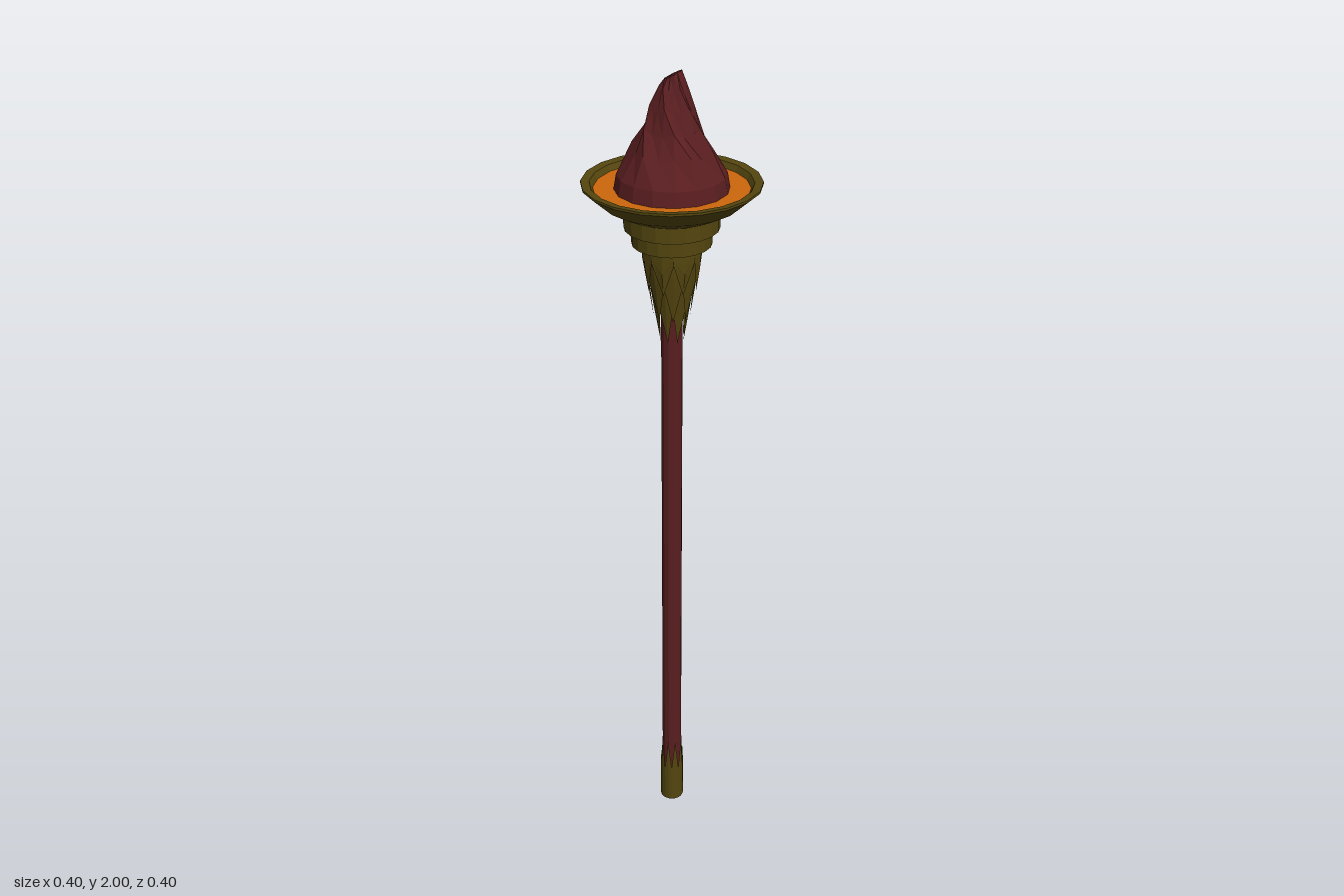
import * as THREE from 'three';

const mat = (color) => new THREE.MeshStandardMaterial({ color, flatShading: true, side: THREE.DoubleSide });
const lerp = THREE.MathUtils.lerp;

export function createModel() {
  const group = new THREE.Group();
  const bronze = mat(0x54460f), wood = mat(0x5a1e20), ember = mat(0xcc660c);

  const add = (name, geometry, material) => {
    const mesh = new THREE.Mesh(geometry, material);
    mesh.name = name;
    group.add(mesh);
    return mesh;
  };
  const lathe = (points, sides = 20) =>
    new THREE.LatheGeometry(points.map(([r, y]) => new THREE.Vector2(r, y)), sides);

  // Sleeve whose far edge is a ring of pointed teeth; radius(y) sets its outline
  const toothedSleeve = (radius, yBase, yTip, yNotch, teeth, turn = 0) => {
    const rows = 6, sides = teeth * 2;
    const geo = lathe(Array.from({ length: rows + 1 }, (_, i) => [1, i / rows]), sides);
    const pos = geo.attributes.position;
    for (let i = 0; i < pos.count; i++) {
      const column = Math.floor(i / (rows + 1));
      const t = pos.getY(i);
      const y = lerp(yBase, column % 2 ? yNotch : yTip, t);
      const a = ((column + turn) / sides) * Math.PI * 2;
      pos.setXYZ(i, Math.sin(a) * radius(y), y, Math.cos(a) * radius(y));
    }
    return geo;
  };

  // Pole
  const pole = add('pole', new THREE.CylinderGeometry(0.025, 0.025, 1.6, 12), wood);
  pole.position.y = 0.81;

  // Foot cap with points reaching up the pole
  add('footCap', lathe([[0, 0], [0.03, 0], [0.03, 0.09]], 20), bronze);
  add('footPoints', toothedSleeve(() => 0.03, 0.09, 0.2, 0.11, 10), bronze);

  // Layered leaf collar, flaring upward under the bowl
  const flare = (y) => {
    const t = THREE.MathUtils.clamp((y - 1.38) / 0.19, 0, 1);
    return 0.028 + 0.03 * t;
  };
  add('lowerLeaves', toothedSleeve(flare, 1.6, 1.38, 1.47, 8), bronze);
  add('middleLeaves', toothedSleeve((y) => flare(y) + 0.004, 1.61, 1.44, 1.53, 8, 1), bronze);
  add('upperLeaves', toothedSleeve((y) => flare(y) + 0.009, 1.62, 1.51, 1.585, 8), bronze);

  // Stepped rings
  add('lowerRing', lathe([[0, 1.615], [0.09, 1.615], [0.09, 1.655], [0, 1.655]]), bronze);
  add('upperRing', lathe([[0, 1.653], [0.107, 1.653], [0.107, 1.695], [0, 1.695]]), bronze);

  // Shallow bowl with a sloped inner lip
  add('bowl', lathe([[0, 1.69], [0.11, 1.69], [0.155, 1.713], [0.199, 1.752], [0.199, 1.757],
    [0.18, 1.755], [0.168, 1.735]]), bronze);

  // Glowing floor of the bowl
  const embers = add('embers', new THREE.CircleGeometry(0.174, 20), ember);
  embers.rotation.x = -Math.PI / 2;
  embers.position.y = 1.742;

  // Faceted hood, open at its slightly crooked tip
  const profile = [[0.127, 1.742], [0.121, 1.775], [0.088, 1.83], [0.063, 1.875],
    [0.046, 1.92], [0.031, 1.96], [0.019, 1.99]];
  const sides = 16;
  const hood = lathe(profile, sides);
  const p = hood.attributes.position;
  for (let i = 0; i < p.count; i++) {
    const row = i % profile.length;
    if (row < 2) continue;
    const k = Math.floor(i / profile.length) % sides;
    const wobble = Math.sin(k * 2.4 + row * 1.9);
    const s = 1 + 0.05 * wobble;
    const lean = row > 4 ? 0.003 : 0;
    const lift = row === profile.length - 1 ? 0.01 * Math.sin((k / sides) * Math.PI * 2) : 0.006 * wobble;
    p.setXYZ(i, p.getX(i) * s + lean, p.getY(i) + lift, p.getZ(i) * s);
  }
  add('hood', hood, wood);

  return group;
}
